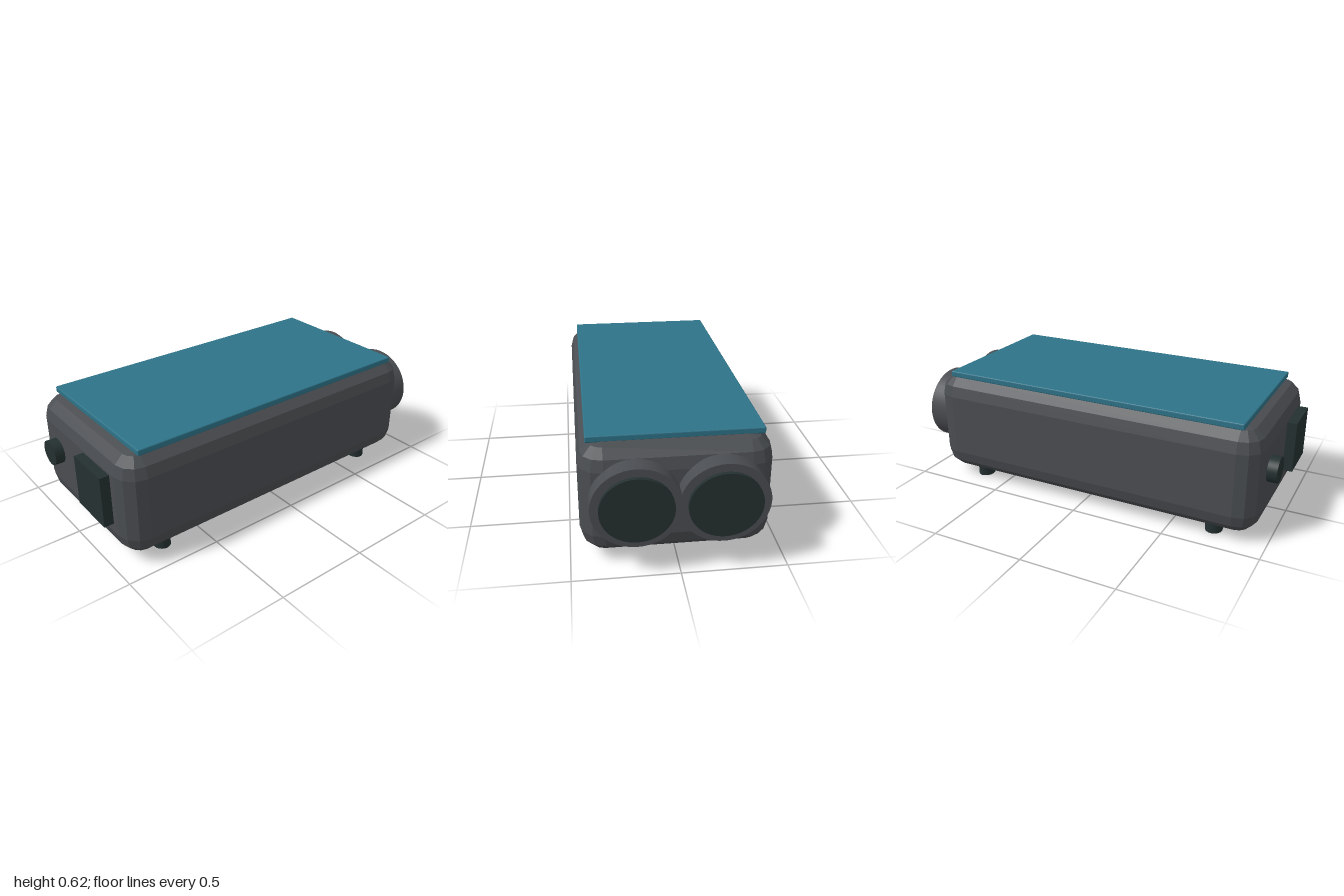
import * as THREE from 'three';

// Box with edges and corners rounded in three flat facets
function facetedBox(w, h, d, r) {
  const pos = [], idx = [];
  const sx = [1, -1, -1, 1], sz = [1, 1, -1, -1];
  for (let j = 0; j < 8; j++) {
    const t = (j < 4 ? j : j - 1) * Math.PI / 6;
    const sy = j < 4 ? 1 : -1;
    for (let i = 0; i < 16; i++) {
      const q = Math.floor(i / 4);
      const p = (q * 3 + i % 4) * Math.PI / 6;
      pos.push(
        sx[q] * (w / 2 - r) + r * Math.sin(t) * Math.cos(p),
        sy * (h / 2 - r) + r * Math.cos(t),
        sz[q] * (d / 2 - r) + r * Math.sin(t) * Math.sin(p));
    }
  }
  for (let j = 0; j < 7; j++) {
    for (let i = 0; i < 16; i++) {
      const a = j * 16 + i, c = j * 16 + (i + 1) % 16;
      idx.push(a, c, a + 16, c, c + 16, a + 16);
    }
  }
  // top and bottom faces
  idx.push(0, 12, 8, 0, 8, 4);
  idx.push(112, 116, 120, 112, 120, 124);
  const g = new THREE.BufferGeometry();
  g.setAttribute('position', new THREE.Float32BufferAttribute(pos, 3));
  g.setIndex(idx);
  const flat = g.toNonIndexed();
  flat.computeVertexNormals();
  return flat;
}

// Cylinder along x from x0 to x1, with separate y and z radii
function xCylinder(x0, x1, ry, rz) {
  const g = new THREE.CylinderGeometry(1, 1, x1 - x0, 48);
  g.rotateZ(-Math.PI / 2);
  g.scale(1, ry, rz);
  g.translate((x0 + x1) / 2, 0, 0);
  return g;
}

export function createModel() {
  const group = new THREE.Group();
  const casing = new THREE.MeshStandardMaterial({ color: 0x4a4d51 });
  casing.name = 'casing grey';
  casing.flatShading = true;
  const barrelGrey = casing;
  const dark = new THREE.MeshStandardMaterial({ color: 0x243030 });
  dark.name = 'dark green black';
  const teal = new THREE.MeshStandardMaterial({ color: 0x2e7388 });
  teal.name = 'teal';
  casing.flatShading = false; // facets come from split normals

  const add = (name, geometry, material, x, y, z) => {
    const mesh = new THREE.Mesh(geometry, material);
    mesh.name = name;
    mesh.position.set(x, y, z);
    group.add(mesh);
  };

  // Main housing and top plate
  add('body', facetedBox(1.85, 0.56, 0.9, 0.115), casing, -0.025, 0.32, 0);
  add('topPlate', facetedBox(1.66, 0.032, 0.82, 0.006), teal, -0.025, 0.606, 0);

  // Twin barrels with dark front discs, and the four feet
  for (const side of [1, -1]) {
    add('barrel', xCylinder(0.78, 0.98, 0.198, 0.208), barrelGrey, 0, 0.345, side * 0.198);
    add('lens', xCylinder(0.94, 1, 0.16, 0.169), dark, 0, 0.345, side * 0.198);
    for (const x of [-0.72, 0.67]) {
      const foot = new THREE.CylinderGeometry(1, 1, 0.06, 32);
      foot.scale(0.044, 1, 0.049);
      add('foot', foot, dark, x, 0.03, side * 0.337);
    }
  }

  // Socket block and knob on the end opposite the barrels
  add('socketBlock', new THREE.BoxGeometry(0.1, 0.27, 0.25), dark, -0.95, 0.34, 0.175);
  add('knob', xCylinder(-1, -0.9, 0.066, 0.068), dark, 0, 0.35, -0.243);

  return group;
}
